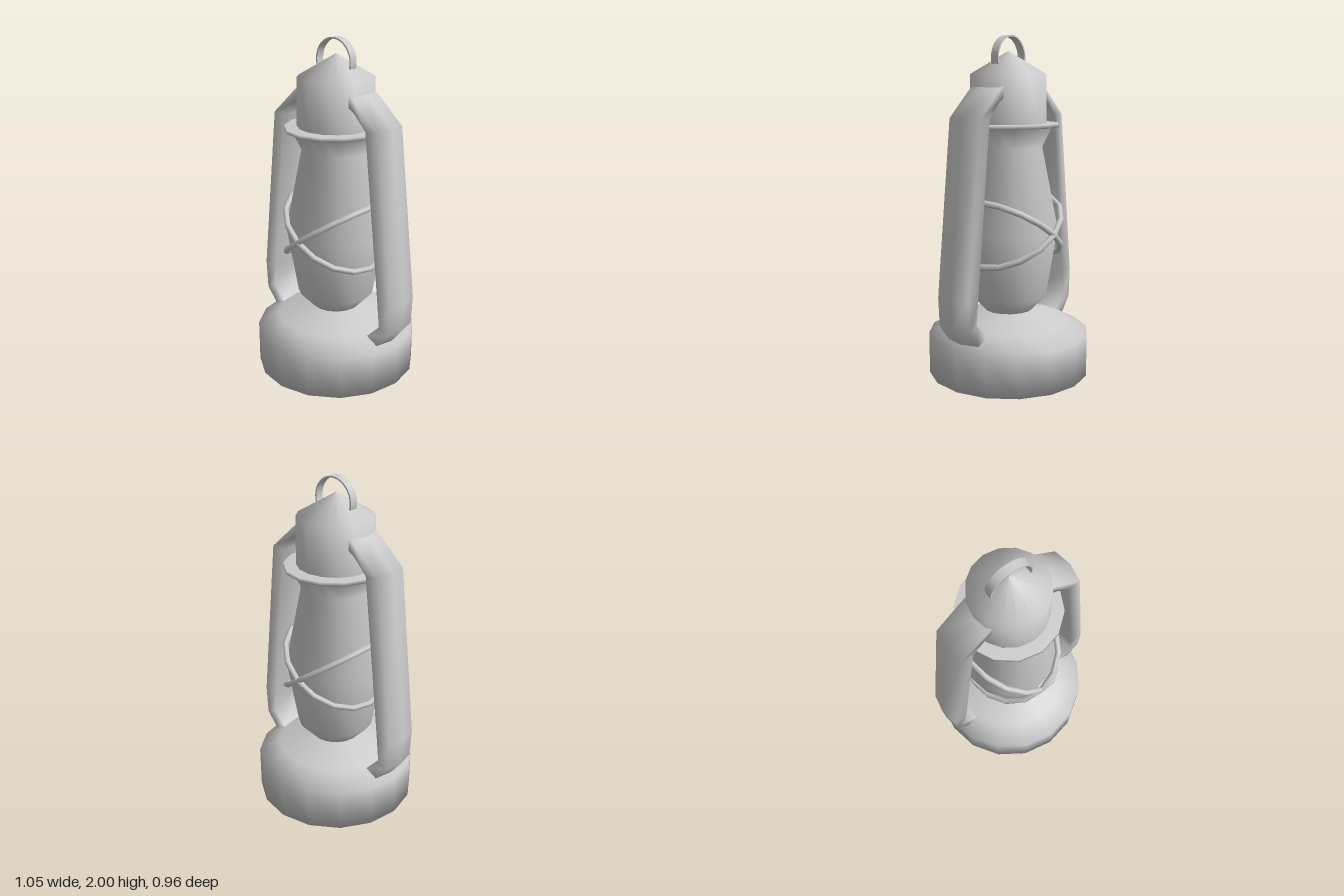
import * as THREE from 'three';

const grey = () => new THREE.MeshStandardMaterial({ color: 0xcccccc, side: THREE.DoubleSide });

function part(group, name, geometry) {
  const mesh = new THREE.Mesh(geometry, grey());
  mesh.name = name;
  group.add(mesh);
  return mesh;
}

const lathe = (points, sides) =>
  new THREE.LatheGeometry(points.map(([r, y]) => new THREE.Vector2(r, y)), sides);

// Skin of a side arm: five-sided sections with a ridged outer face, each given as
// outer x, outer y, inner x, inner y.
function armGeometry(sections, halfWidth) {
  const positions = [], index = [], n = 5;
  const ring = [[0, 0], [0.2, 1], [1, 1], [1, -1], [0.2, -1]]; // depth inward, side
  for (const [ox, oy, ix, iy] of sections)
    for (const [t, s] of ring)
      positions.push(ox + (ix - ox) * t, oy + (iy - oy) * t, s * halfWidth);
  for (let i = 0; i < sections.length - 1; i++)
    for (let j = 0; j < n; j++) {
      const a = i * n + j, b = i * n + (j + 1) % n;
      index.push(a, a + n, b, b, a + n, b + n);
    }
  const geometry = new THREE.BufferGeometry();
  geometry.setAttribute('position', new THREE.Float32BufferAttribute(positions, 3));
  geometry.setIndex(index);
  geometry.computeVertexNormals();
  return geometry;
}

export function createModel() {
  const lantern = new THREE.Group();
  lantern.name = 'lantern';

  // Fuel tank with a domed shoulder
  part(lantern, 'tank', lathe([[0, 0], [0.48, 0], [0.48, 0.25], [0.35, 0.322], [0.14, 0.387]], 16));

  // Glass chimney
  part(lantern, 'glass', lathe([[0.14, 0.38], [0.23, 0.477], [0.296, 0.875], [0.2, 1.36], [0.26, 1.48]], 16));

  // Flange and pointed cap
  part(lantern, 'flange', lathe([[0, 1.477], [0.297, 1.477], [0.297, 1.499], [0, 1.499]], 14));
  part(lantern, 'cap', lathe([[0.225, 1.49], [0.222, 1.78], [0, 1.91]], 16));

  // Side arms from cap to tank, bottom end first
  const arm = armGeometry([
    [0.38, 0.2, 0.3, 0.27],
    [0.44, 0.27, 0.35, 0.32],
    [0.51, 0.36, 0.43, 0.4],
    [0.525, 0.545, 0.418, 0.53],
    [0.41, 1.54, 0.31, 1.535],
    [0.23, 1.7, 0.23, 1.62],
    [0.14, 1.77, 0.14, 1.68],
  ], 0.11);
  part(lantern, 'leftArm', arm);
  part(lantern, 'rightArm', arm).rotation.y = Math.PI;

  // Two crossed guard wires around the glass
  for (const [name, tilt] of [['guardWireA', 1], ['guardWireB', -1]]) {
    const wire = new THREE.TorusGeometry(0.328, 0.018, 6, 16);
    wire.rotateX(Math.PI / 2).rotateZ(tilt * 0.615).translate(0, 0.873, 0);
    part(lantern, name, wire);
  }

  // Flat hanging loop
  const loop = new THREE.Shape();
  const start = -0.3, end = Math.PI + 0.3;
  loop.absarc(0, 0, 0.13, start, end, false);
  loop.absarc(0, 0, 0.121, end, start, true);
  const band = new THREE.ExtrudeGeometry(loop, { depth: 0.05, bevelEnabled: false, curveSegments: 16 });
  band.translate(0, 1.87, -0.025);
  part(lantern, 'hangingLoop', band);

  return lantern;
}
